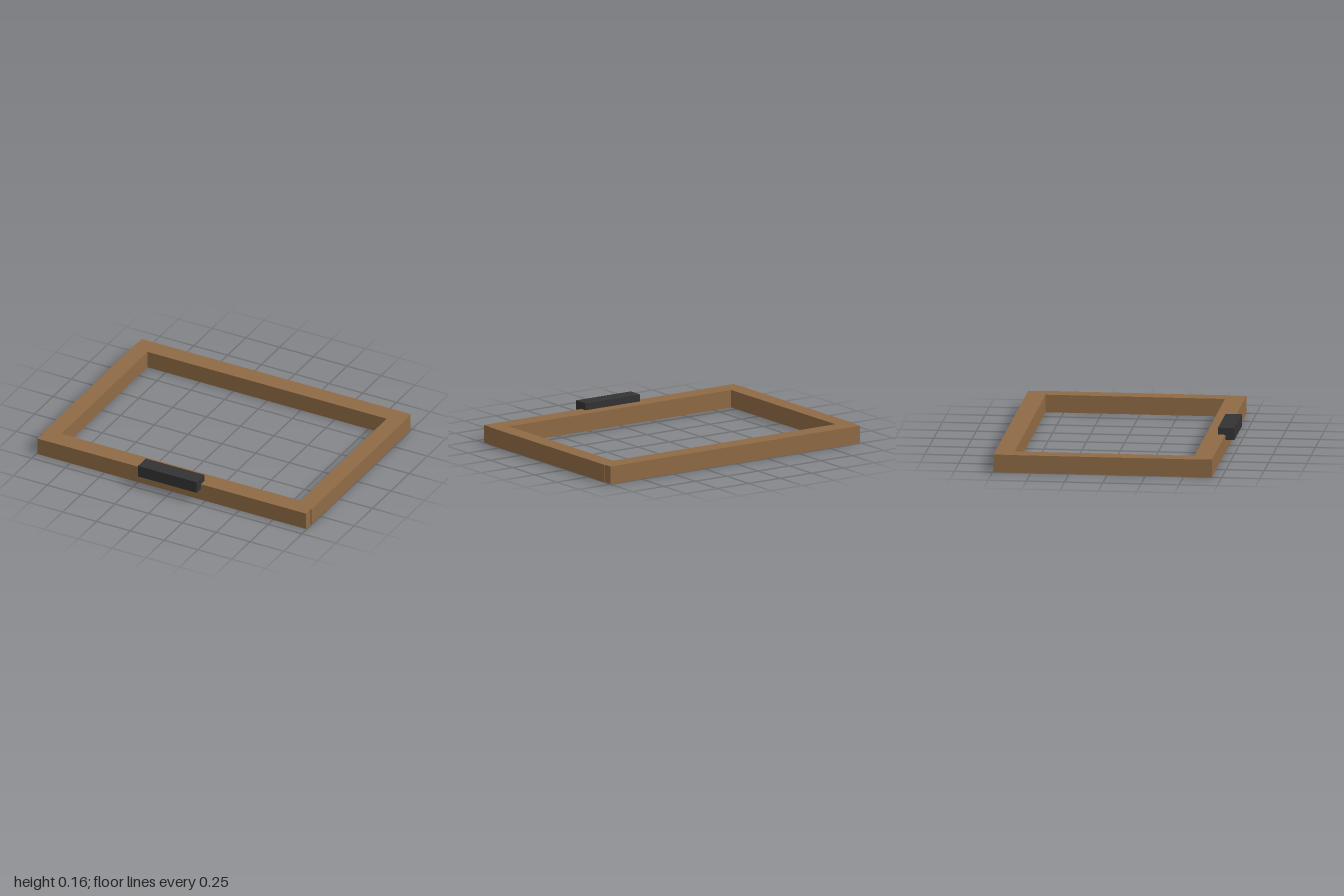
import * as THREE from 'three';

export function createModel() {
  const wood = new THREE.MeshStandardMaterial({ color: 0x8f6b45 });
  wood.name = 'wood';
  const black = new THREE.MeshStandardMaterial({ color: 0x333333 });
  black.name = 'dark handle';

  const model = new THREE.Group();
  model.name = 'frame';

  // Box given by its extents along each axis
  function addBox(name, material, [x0, x1], [y0, y1], [z0, z1]) {
    const mesh = new THREE.Mesh(new THREE.BoxGeometry(x1 - x0, y1 - y0, z1 - z0), material);
    mesh.position.set((x0 + x1) / 2, (y0 + y1) / 2, (z0 + z1) / 2);
    mesh.name = name;
    model.add(mesh);
  }

  const height = [0, 0.117];

  // Long rails across the front and back
  addBox('frontRail', wood, [-0.994, 0.994], height, [0.557, 0.685]);
  addBox('backRail', wood, [-0.994, 0.994], height, [-0.744, -0.618]);

  // Side rails, standing slightly proud of the long rails' ends
  addBox('leftRail', wood, [0.885, 1], height, [-0.683, 0.621]);
  addBox('rightRail', wood, [-1, -0.885], height, [-0.683, 0.621]);

  // Handle block set over the front edge
  addBox('handle', black, [-0.217, 0.217], [0.083, 0.163], [0.637, 0.744]);

  return model;
}
